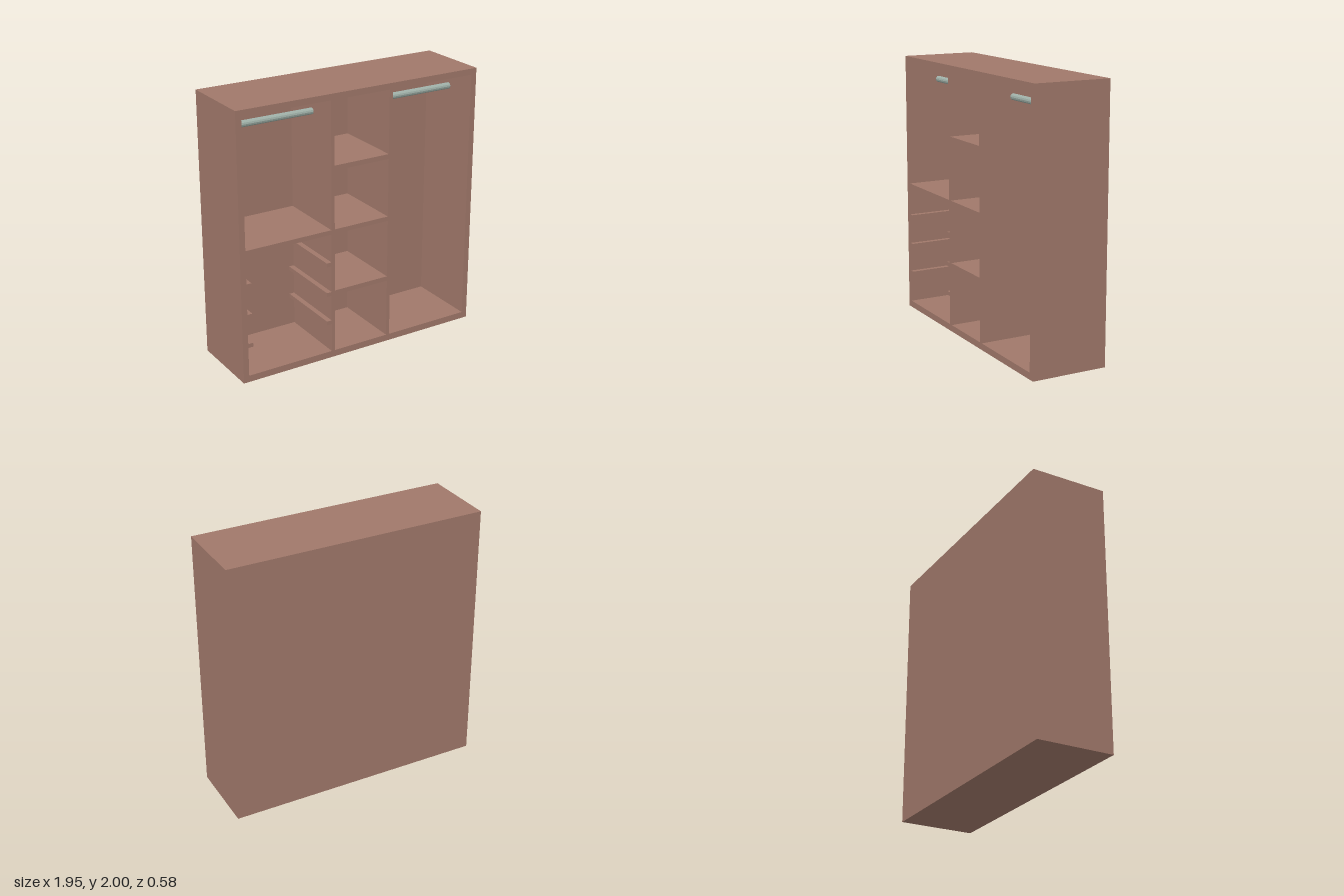
import * as THREE from 'three';

const WIDTH = 1.954, HEIGHT = 2, DEPTH = 0.576, BACK = 0.033;

// Closed outline from corner points
function outline(points, Type = THREE.Path) {
  return new Type(points.map(([x, y]) => new THREE.Vector2(x, y)));
}
const rect = (x0, x1, y0, y1) => [[x0, y0], [x1, y0], [x1, y1], [x0, y1]];

// Drawer bay whose side walls carry stepped runners
function drawerBay(x0, x1, y0, y1, runnerHeights) {
  const t = 0.015, w = 0.039;
  const step = (x, y, s) => [[x, y - s * t], [x + (x === x0 ? w : -w), y - s * t],
    [x + (x === x0 ? w : -w), y + s * t], [x, y + s * t]];
  const up = runnerHeights.flatMap(y => step(x1, y, 1));
  const down = [...runnerHeights].reverse().flatMap(y => step(x0, y, -1));
  return [[x0, y0], [x1, y0], ...up, [x1, y1], [x0, y1], ...down];
}

export function createModel() {
  const group = new THREE.Group();
  group.name = 'wardrobe';
  const wood = new THREE.MeshStandardMaterial({ color: 0xa0786a });
  const metal = new THREE.MeshStandardMaterial({ color: 0x9fb0a8, flatShading: true });

  // Carcass: outer frame, dividers and shelves around the open bays
  const face = outline(rect(-WIDTH / 2, WIDTH / 2, 0, HEIGHT), THREE.Shape);
  const bays = [
    rect(-0.934, -0.252, 1.007, 1.955),
    drawerBay(-0.934, -0.252, 0.05, 0.973, [0.285, 0.512, 0.744]),
    rect(0.252, 0.934, 0.05, 1.955),
    ...[[0.05, 0.497], [0.532, 0.973], [1.007, 1.447], [1.483, 1.955]]
      .map(([y0, y1]) => rect(-0.225, 0.225, y0, y1)),
  ];
  face.holes = bays.map(points => outline(points));
  const carcass = new THREE.Mesh(
    new THREE.ExtrudeGeometry(face, { depth: DEPTH - BACK, bevelEnabled: false }), wood);
  carcass.name = 'carcass';
  carcass.position.z = BACK - DEPTH / 2;
  group.add(carcass);

  // Back panel
  const back = new THREE.Mesh(new THREE.BoxGeometry(WIDTH, HEIGHT, BACK), wood);
  back.name = 'backPanel';
  back.position.set(0, HEIGHT / 2, (BACK - DEPTH) / 2);
  group.add(back);

  // Hanging rails
  for (const [name, x0, x1] of [['rightRail', -0.924, -0.252], ['leftRail', 0.252, 0.924]]) {
    const rail = new THREE.Mesh(new THREE.CylinderGeometry(0.024, 0.024, x1 - x0, 12), metal);
    rail.name = name;
    rail.rotation.z = Math.PI / 2;
    rail.position.set((x0 + x1) / 2, 1.814, 0.033);
    group.add(rail);
  }
  return group;
}
